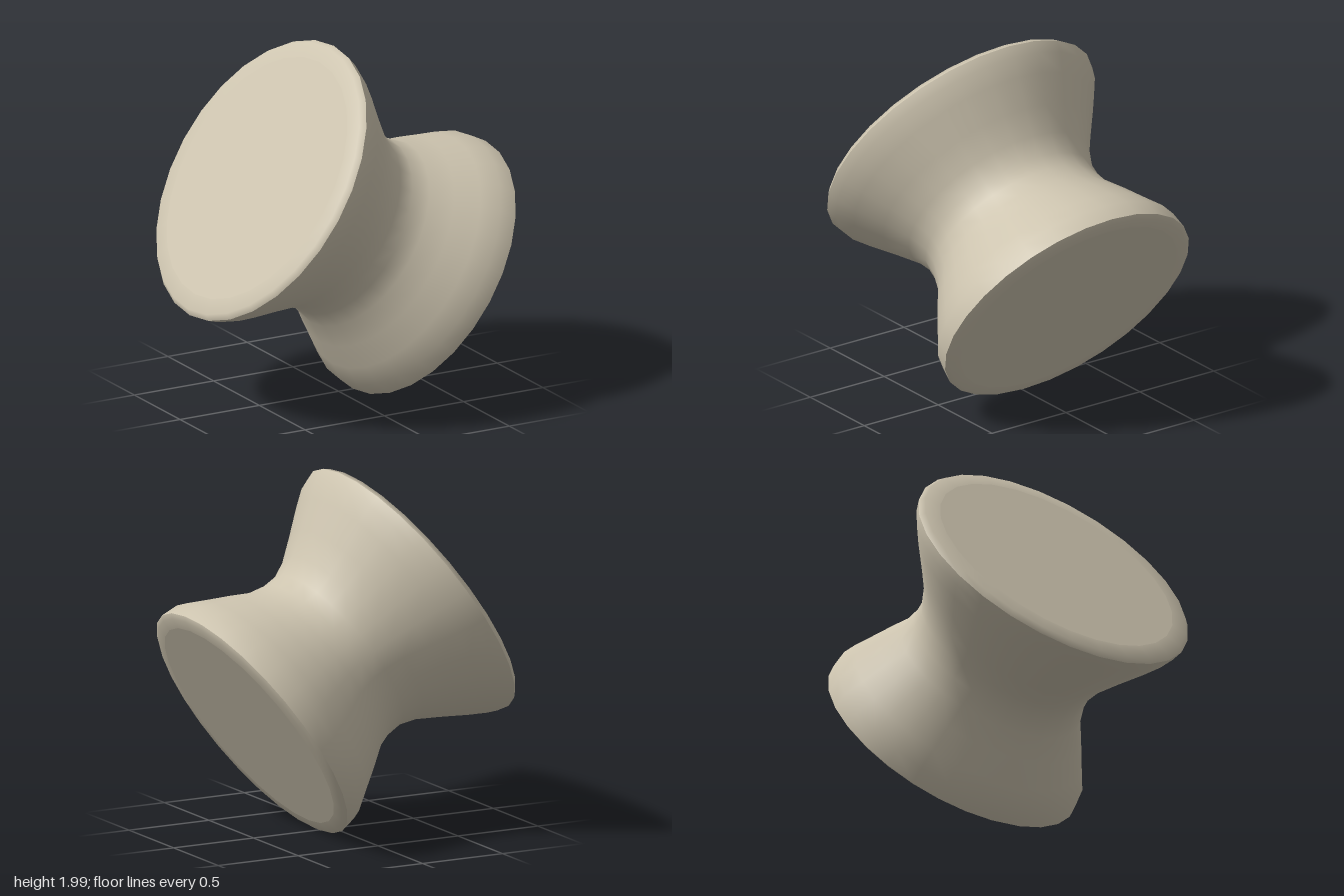
import * as THREE from 'three';

export function createModel() {
  const model = new THREE.Group();
  const stone = new THREE.MeshStandardMaterial({ color: 0xcdc4af });
  stone.name = 'warm stone';
  const SIDES = 28;

  // Tilted spool: local y is the spool axis, the larger end points up and to -x
  const spool = new THREE.Group();
  spool.name = 'spool';
  spool.position.set(0.006, 0.98, 0);
  spool.rotation.z = 0.995;
  model.add(spool);

  const add = (name, geometry) => {
    const mesh = new THREE.Mesh(geometry, stone);
    mesh.name = name;
    spool.add(mesh);
    return mesh;
  };
  const lathe = (pts) =>
    new THREE.LatheGeometry(pts.map(([r, y]) => new THREE.Vector2(r, y)), SIDES);

  // Concave body flaring from the waist to both rims
  add('body', lathe([
    [0.768, -0.6], [0.757, -0.5], [0.7, -0.4], [0.628, -0.27], [0.556, -0.15],
    [0.529, -0.05], [0.528, 0.04], [0.57, 0.15], [0.655, 0.28],
    [0.755, 0.425], [0.815, 0.52], [0.835, 0.585],
  ]));

  // Narrow worn bevels around the end faces
  add('smallRim', lathe([[0.68, -0.621], [0.74, -0.616], [0.768, -0.6]]));
  add('largeRim', lathe([[0.835, 0.585], [0.81, 0.614], [0.72, 0.621]]));

  // Flat end faces
  const endFace = (name, radius, y) => {
    const disc = new THREE.CircleGeometry(radius, SIDES);
    disc.rotateX(y > 0 ? -Math.PI / 2 : Math.PI / 2);
    add(name, disc).position.y = y;
  };
  endFace('smallEndFace', 0.68, -0.621);
  endFace('largeEndFace', 0.72, 0.621);

  return model;
}
